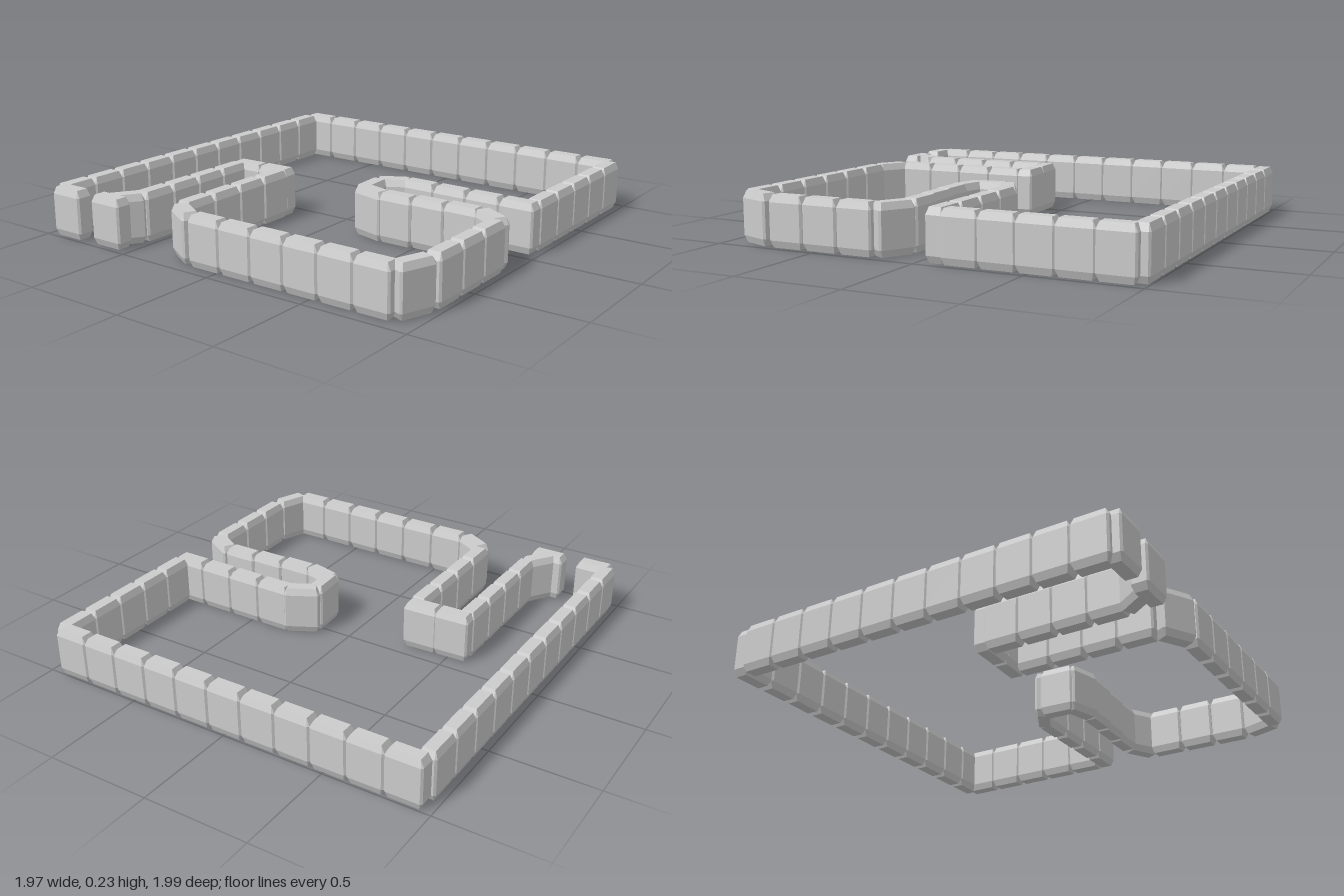
import * as THREE from 'three';
import { ConvexGeometry } from 'three/addons/geometries/ConvexGeometry.js';

const LENGTH = 0.174, HEIGHT = 0.235, WIDTH = 0.083;

// Chamfered block: cut-corner body narrowing to a smaller rectangle at top and bottom
function blockGeometry() {
  const points = [];
  const hx = LENGTH / 2, hz = WIDTH / 2;
  for (const sx of [-1, 1]) for (const sz of [-1, 1]) {
    for (const y of [0, HEIGHT]) points.push(new THREE.Vector3(sx * (hx - 0.017), y, sz * (hz - 0.013)));
    for (const y of [0.033, HEIGHT - 0.033]) {
      points.push(new THREE.Vector3(sx * hx, y, sz * (hz - 0.009)));
      points.push(new THREE.Vector3(sx * (hx - 0.009), y, sz * hz));
    }
  }
  return new ConvexGeometry(points);
}

export function createModel() {
  const model = new THREE.Group();
  model.name = 'blockWall';
  const material = new THREE.MeshStandardMaterial({ color: 0xcccccc, flatShading: true });
  const geometry = blockGeometry();

  // Evenly spaced blocks between two block centres; angle in degrees, from +x towards +z
  function run(name, count, x0, z0, x1 = x0, z1 = z0, angle = 0) {
    const group = new THREE.Group();
    group.name = name;
    for (let i = 0; i < count; i++) {
      const t = count > 1 ? i / (count - 1) : 0;
      const block = new THREE.Mesh(geometry, material);
      block.name = 'block';
      block.position.set(x0 + (x1 - x0) * t, 0, z0 + (z1 - z0) * t);
      block.rotation.y = -THREE.MathUtils.degToRad(angle);
      group.add(block);
    }
    model.add(group);
  }
  const bend = (name, x, z, angle) => run(name, 1, x, z, x, z, angle);

  // Outer sides
  run('backWall', 11, -0.873, -0.96, 0.857, -0.96);
  run('rightWall', 11, -0.936, -0.84, -0.943, 0.863, 90);
  bend('rightWallFoot', -0.873, 0.95, 0);
  run('leftWallBack', 5, 0.936, -0.875, 0.936, -0.2, 90);

  // Inward loop on the left side
  run('loopBackWall', 4, 0.885, -0.085, 0.37, -0.085);
  bend('loopBackBend', 0.235, -0.055, -28);
  bend('loopEnd', 0.187, 0.06, 87);
  bend('loopFrontBend', 0.25, 0.142, 15);
  run('loopFrontWall', 3, 0.4, 0.152, 0.725, 0.128, 0, -3);
  bend('loopCorner', 0.88, 0.162, 30);

  // Front left side and front wall
  run('leftWallFront', 3, 0.938, 0.3, 0.942, 0.65, 90);
  bend('frontLeftCorner', 0.915, 0.83, 110);
  run('frontWall', 6, 0.8, 0.907, -0.065, 0.907);
  bend('frontRightCorner', -0.23, 0.872, 30);

  // Narrow inlet at the front
  run('inletLeftWall', 4, -0.3, 0.735, -0.3, 0.22, 90);
  run('inletBackWall', 2, -0.35, 0.107, -0.51, 0.114, -2);
  run('inletRightWall', 4, -0.56, 0.22, -0.562, 0.73, 90);
  bend('inletBend', -0.605, 0.875, 124);
  bend('inletFoot', -0.627, 0.94, 0);

  return model;
}
